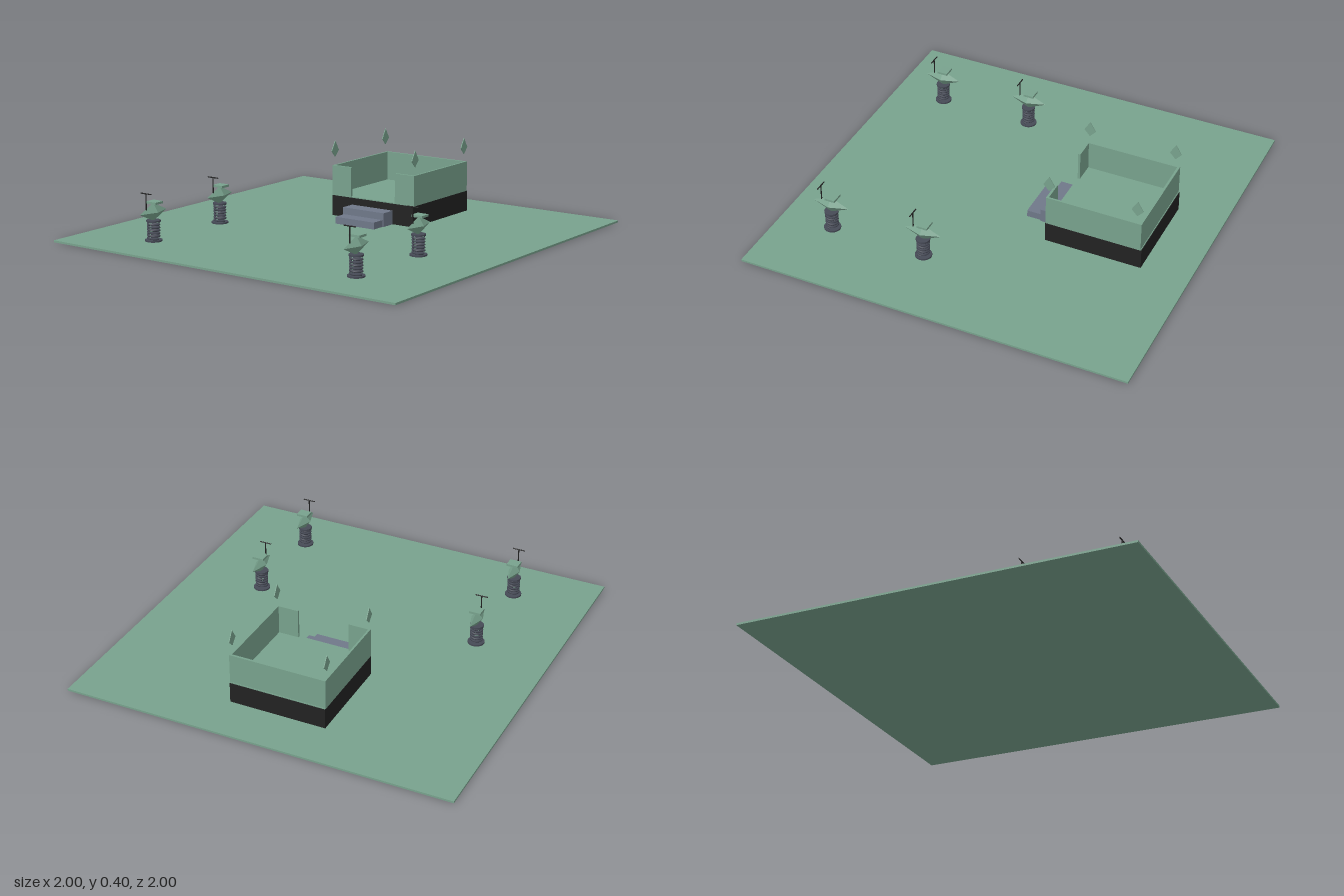
import * as THREE from 'three';

const material = (name, color, extra = {}) => {
  const m = new THREE.MeshStandardMaterial({ color, ...extra });
  m.name = name;
  return m;
};

export function createModel() {
  const green = material('sage green', 0x78a28d);
  const facetGreen = material('sage green', 0x78a28d, { flatShading: true });
  const black = material('black', 0x222222);
  const grey = material('slate grey', 0x6f7889);
  const steel = material('dark steel', 0x464a56);
  const root = new THREE.Group();
  root.name = 'playground';

  const add = (parent, name, geometry, mat, x = 0, y = 0, z = 0) => {
    const mesh = new THREE.Mesh(geometry, mat);
    mesh.name = name;
    mesh.position.set(x, y, z);
    parent.add(mesh);
    return mesh;
  };
  // Box given by its lower and upper limits on each axis
  const box = (parent, name, mat, [x0, x1], [y0, y1], [z0, z1]) =>
    add(parent, name, new THREE.BoxGeometry(x1 - x0, y1 - y0, z1 - z0), mat,
      (x0 + x1) / 2, (y0 + y1) / 2, (z0 + z1) / 2);

  box(root, 'ground', green, [-1, 1], [0, 0.01], [-1, 1]);

  // Raised platform with a low wall, open at the front
  const platform = new THREE.Group();
  platform.name = 'platform';
  root.add(platform);
  box(platform, 'base', black, [-0.25, 0.25], [0.01, 0.115], [-0.755, -0.255]);
  box(platform, 'floor', green, [-0.248, 0.248], [0.115, 0.12], [-0.753, -0.257]);
  box(platform, 'backWall', green, [-0.25, 0.25], [0.115, 0.27], [-0.75, -0.738]);
  for (const s of [-1, 1]) {
    const span = (a, b) => (s > 0 ? [a, b] : [-b, -a]);
    box(platform, 'sideWall', green, span(0.24, 0.25), [0.115, 0.27], [-0.738, -0.27]);
    box(platform, 'frontWall', green, span(0.135, 0.25), [0.115, 0.27], [-0.27, -0.258]);
  }
  box(platform, 'upperStep', grey, [-0.125, 0.125], [0.01, 0.08], [-0.255, -0.175]);
  box(platform, 'lowerStep', grey, [-0.118, 0.118], [0.01, 0.045], [-0.175, -0.1]);

  // Flat four-sided pointed drops above the wall corners
  const drop = new THREE.Shape([[0, 0.395], [-0.03, 0.345], [0, 0.312], [0.03, 0.345]]
    .map(([x, y]) => new THREE.Vector2(x, y)));
  const dropGeometry = new THREE.ExtrudeGeometry(drop, { depth: 0.004, bevelEnabled: false });
  dropGeometry.translate(0, 0, -0.002).rotateY(Math.PI / 2);
  for (const x of [-0.245, 0.245])
    for (const z of [-0.273, -0.725]) add(platform, 'cornerDrop', dropGeometry, facetGreen, x, 0, z);

  // Coil spring
  const turns = 6;
  class Helix extends THREE.Curve {
    getPoint(t, target = new THREE.Vector3()) {
      const a = t * turns * Math.PI * 2;
      return target.set(0.028 * Math.cos(a), 0.022 + 0.084 * t, 0.028 * Math.sin(a));
    }
  }
  const springGeometry = new THREE.TubeGeometry(new Helix(), turns * 20, 0.005, 6);
  const footGeometry = new THREE.CylinderGeometry(0.042, 0.042, 0.008, 24);
  const capGeometry = new THREE.CylinderGeometry(0.035, 0.035, 0.008, 24);
  const bodyGeometry = new THREE.OctahedronGeometry(1).scale(0.03, 0.044, 0.096);
  const poleGeometry = new THREE.CylinderGeometry(0.003, 0.003, 0.09, 8);
  const barGeometry = new THREE.CylinderGeometry(0.003, 0.003, 0.064, 8).rotateZ(Math.PI / 2);

  // Four spring riders, facing the front
  for (const x of [-0.6, 0.6]) for (const z of [0.225, 0.725]) {
    const rider = new THREE.Group();
    rider.name = 'springRider';
    rider.position.set(x, 0, z);
    root.add(rider);
    add(rider, 'foot', footGeometry, steel, 0, 0.014, 0);
    add(rider, 'spring', springGeometry, steel);
    add(rider, 'springCap', capGeometry, steel, 0, 0.11, 0);
    add(rider, 'body', bodyGeometry, facetGreen, 0, 0.153, 0);
    box(rider, 'seat', green, [-0.03, 0.03], [0.193, 0.204], [-0.038, 0.016]);
    add(rider, 'handlePole', poleGeometry, black, 0, 0.205, 0.05);
    add(rider, 'handlebar', barGeometry, black, 0, 0.25, 0.05);
  }
  return root;
}
